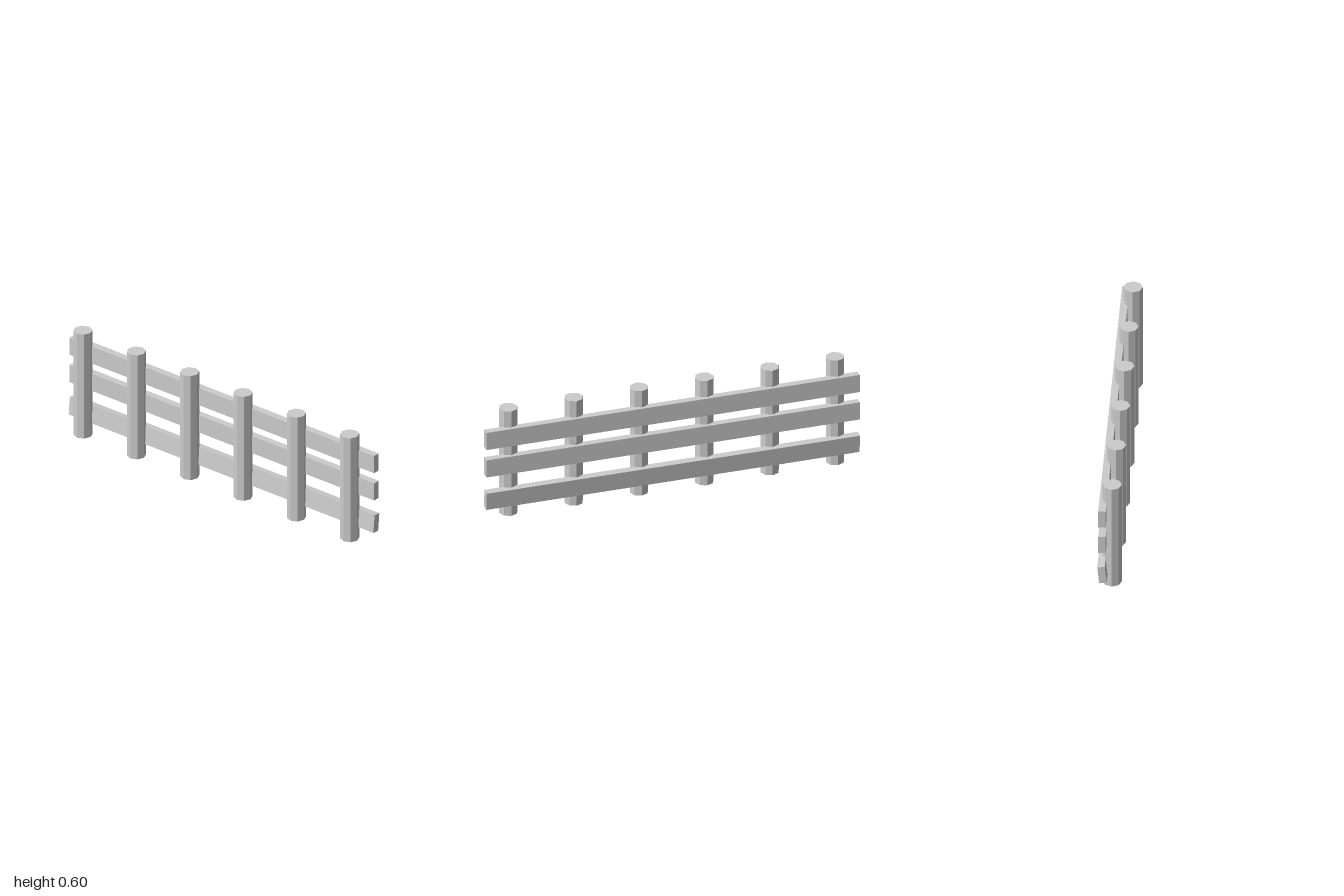
import * as THREE from 'three';

export function createModel() {
  const fence = new THREE.Group();
  fence.name = 'fence';
  const material = new THREE.MeshStandardMaterial({ color: 0xcccccc, flatShading: true });

  // Six octagonal posts, evenly spaced
  const postGeometry = new THREE.CylinderGeometry(0.049, 0.049, 0.601, 8);
  for (let i = 0; i < 6; i++) {
    const post = new THREE.Mesh(postGeometry, material);
    post.name = `post${i + 1}`;
    post.position.set(-0.888 + i * 0.35, 0.3005, 0.0107);
    fence.add(post);
  }

  // Three rails along the back; the lowest one hangs slightly tilted
  const railGeometry = new THREE.BoxGeometry(2, 0.0985, 0.0385);
  const rails = [
    ['topRail', 0.459, 0],
    ['middleRail', 0.301, 0],
    ['bottomRail', 0.1135, -0.1],
  ];
  for (const [name, y, tilt] of rails) {
    const rail = new THREE.Mesh(railGeometry, material);
    rail.name = name;
    rail.position.set(0, y, -0.0348);
    rail.rotation.x = tilt;
    fence.add(rail);
  }

  return fence;
}
